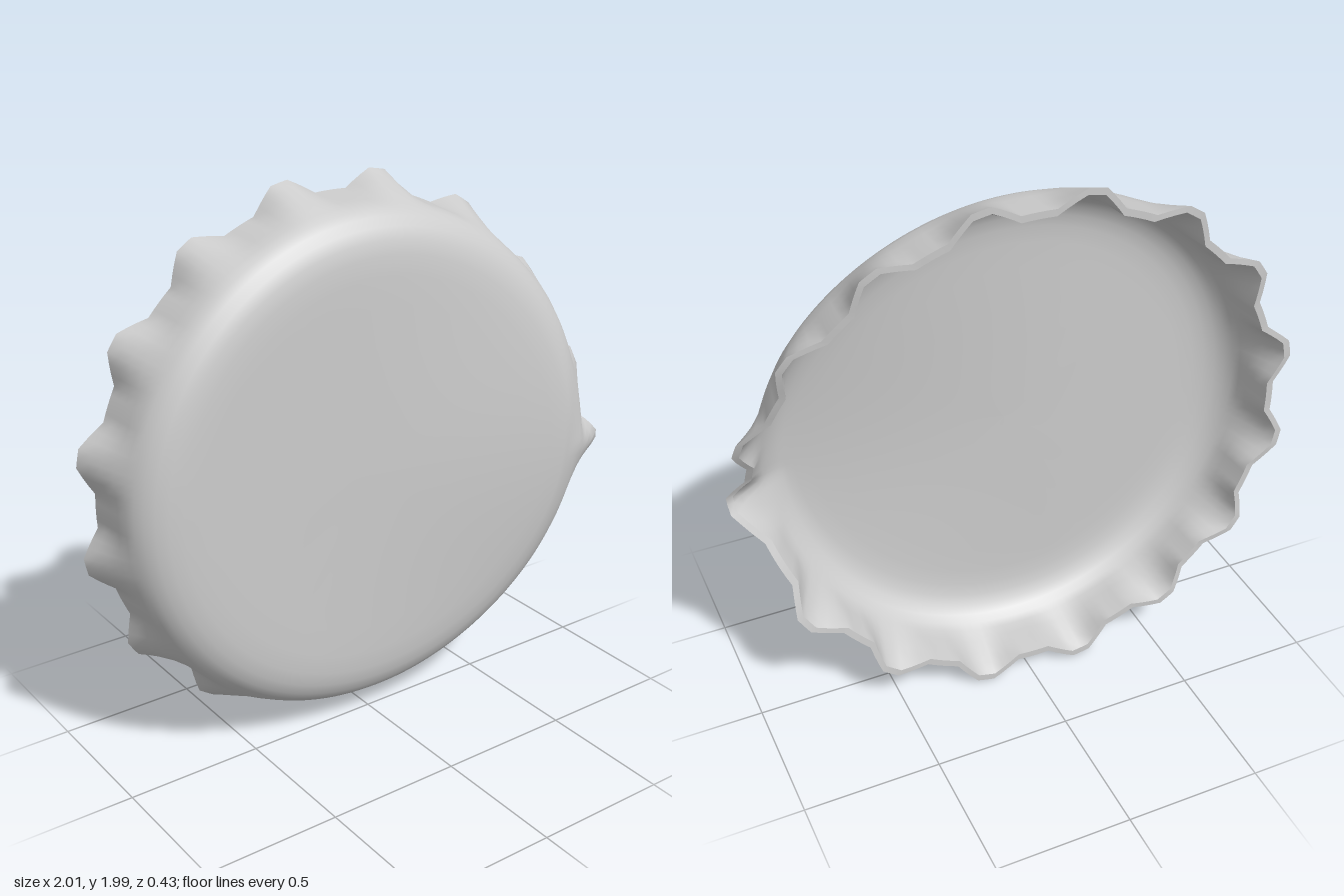
import * as THREE from 'three';

const TEETH = 16;
const SEGMENTS = TEETH * 12;
const CENTER_X = -0.015;
const CENTER_Y = 0.987;
const DENT_ANGLE = -5;

const clamp01 = (t) => Math.min(1, Math.max(0, t));
const wrapDegrees = (d) => ((d + 540) % 360) - 180;
const bell = (t) => Math.exp(-t * t);

// Tooth height 0..1 around the skirt: narrow flat tips, wide flat valleys
function toothHeight(degrees) {
  const pitch = 360 / TEETH;
  const fromTip = Math.abs((degrees % pitch) - pitch / 2);
  return clamp01((7.5 - fromTip) / 5.6);
}

// One point of the bent cap: profile radius r, depth z, flute amount v
function capPoint(r, z, v, degrees) {
  const tooth = toothHeight(degrees);
  let radius = r + 0.067 * v * tooth;
  const depth = z - 0.008 * v * tooth;

  // The tooth beside the dent is pushed sideways
  const angle = degrees + 5.5 * v * bell((wrapDegrees(degrees) + 11.25) / 11);
  const away = Math.abs(wrapDegrees(angle - DENT_ANGLE));

  // The shoulder is drawn in and the rim flares slightly at the dent
  const dent = bell(away / 30);
  const skirt = clamp01((0.06 - z) / 0.27) * THREE.MathUtils.smoothstep(r, 0.7, 0.85);
  const shoulder = THREE.MathUtils.smoothstep(r, 0.74, 0.88);
  radius += dent * (0.012 * skirt - 0.055 * shoulder * (1 - skirt));

  const a = THREE.MathUtils.degToRad(angle);
  const x = radius * Math.cos(a);
  const y = radius * Math.sin(a);

  // The face tilts forward on one side, the rim is levered up further
  const faceLift = 0.14 * Math.pow(clamp01((x + 0.25) / 1.05), 1.4) * bell((y + 0.08) / 0.9);
  const rimLift = 0.34 * Math.exp(-Math.pow(away / 31, 1.1));
  const lift = THREE.MathUtils.lerp(faceLift, rimLift, skirt);
  return [CENTER_X + x, CENTER_Y + y, depth + lift];
}

// Sweeps a profile of [radius, z, flute] around the cap
function sweep(profile) {
  const positions = [];
  const index = [];
  profile.forEach(([r, z, v], j) => {
    for (let i = 0; i < SEGMENTS; i++) {
      positions.push(...capPoint(r, z, v, (i * 360) / SEGMENTS));
      if (j === profile.length - 1) continue;
      const a = j * SEGMENTS + i;
      const b = j * SEGMENTS + ((i + 1) % SEGMENTS);
      const c = a + SEGMENTS;
      const d = b + SEGMENTS;
      index.push(a, c, d, a, d, b);
    }
  });
  const geometry = new THREE.BufferGeometry();
  geometry.setAttribute('position', new THREE.Float32BufferAttribute(positions, 3));
  geometry.setIndex(index);
  geometry.computeVertexNormals();
  return geometry;
}

export function createModel() {
  const group = new THREE.Group();
  group.name = 'bottleCap';
  const material = new THREE.MeshStandardMaterial({ color: 0xcccccc, side: THREE.DoubleSide });
  const add = (name, profile) => {
    const mesh = new THREE.Mesh(sweep(profile), material);
    mesh.name = name;
    group.add(mesh);
  };

  // Outer shell: flat face, rounded shoulder, fluted skirt
  const outer = [
    [0.0005, 0.08, 0], [0.15, 0.08, 0], [0.3, 0.08, 0], [0.45, 0.08, 0], [0.6, 0.08, 0],
    [0.7, 0.08, 0], [0.77, 0.077, 0], [0.82, 0.068, 0], [0.86, 0.052, 0], [0.89, 0.028, 0],
    [0.91, 0, 0], [0.923, -0.03, 0.05], [0.928, -0.075, 0.28], [0.932, -0.12, 0.52],
    [0.936, -0.165, 0.76], [0.94, -0.208, 1],
  ];
  add('outerShell', outer);

  // Inner shell: the same profile moved in by the sheet thickness
  const last = outer.length - 1;
  const inner = outer.map(([r, z, v], j) => [
    r - 0.025 * THREE.MathUtils.smoothstep(r, 0.6, 0.9),
    z - 0.025 * (1 - Math.pow(j / last, 4)),
    v,
  ]);
  add('innerShell', [...inner].reverse());

  // Rim edge joining the two shells
  add('rimEdge', [outer[last], inner[last]]);
  return group;
}
